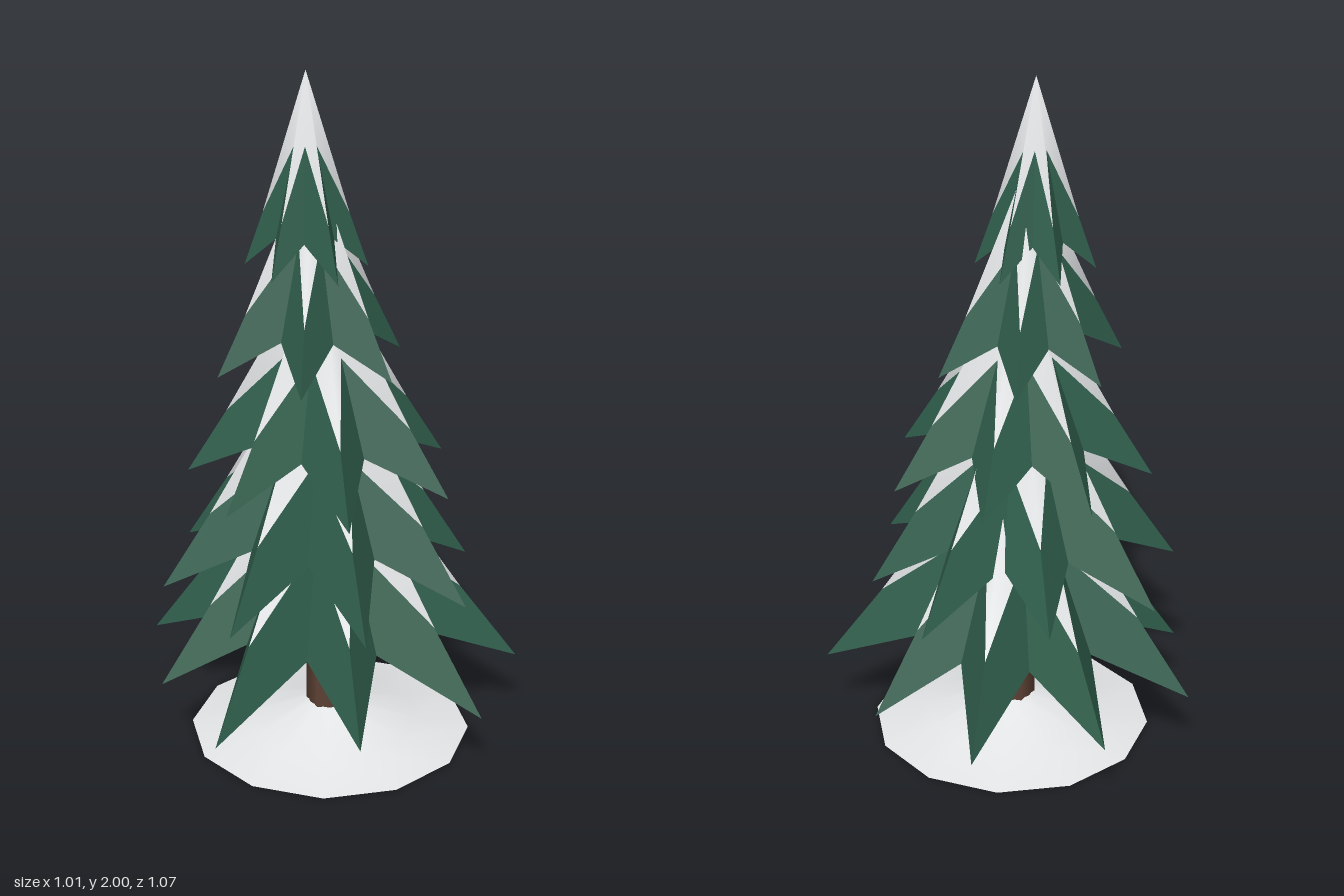
import * as THREE from 'three';

const green = new THREE.MeshStandardMaterial({ color: 0x2f5d4b });
green.name = 'needle green';
green.flatShading = true;
const white = new THREE.MeshStandardMaterial({ color: 0xe6e8ea, side: THREE.DoubleSide });
white.name = 'snow white';
const brown = new THREE.MeshStandardMaterial({ color: 0x5e4235 });
brown.name = 'bark brown';

// Tiers of branches from the bottom up: centre, apex height, tip height,
// angle of the first branch (degrees) and the reach of every branch.
const tiers = [
  { x: 0, z: 0, apex: 0.98, tip: 0.215, start: -93, snow: 0.53,
    reach: [0.54, 0.565, 0.506, 0.564, 0.574, 0.55, 0.605, 0.5, 0.54] },
  { x: -0.02, z: 0.02, apex: 1.23, tip: 0.515, start: -122, snow: 0.55,
    reach: [0.46, 0.42, 0.49, 0.435, 0.47, 0.49, 0.49, 0.465] },
  { x: -0.03, z: 0.03, apex: 1.45, tip: 0.83, start: 209, snow: 0.48,
    reach: [0.375, 0.35, 0.36, 0.385, 0.4, 0.41, 0.395] },
  { x: -0.05, z: 0.02, apex: 1.73, tip: 1.165, start: 243, snow: 0.42,
    reach: [0.252, 0.257, 0.272, 0.27, 0.28, 0.283] },
  { x: -0.07, z: 0.025, apex: 1.95, tip: 1.455, start: 90, snow: 0.37,
    reach: [0.19, 0.17, 0.168, 0.16, 0.17, 0.17] },
];

const SNOW_LIFT = 0.05;   // snow apex above the branch apex
const SNOW_END = 0.85;    // share of the branch length the snow reaches
const RIDGE_MELT = 0.7;   // where the snow sinks into a branch ridge

// Rim of a star cone: ridge tips alternating with valleys.
function starRim(tier) {
  const n = tier.reach.length;
  const mean = tier.reach.reduce((a, b) => a + b) / n;
  const drop = tier.apex - tier.tip;
  const rim = [];
  for (let i = 0; i < n * 2; i++) {
    const ridge = i % 2 === 0;
    const a = THREE.MathUtils.degToRad(tier.start + (i * 180) / n);
    const r = ridge ? tier.reach[i / 2] : mean * 0.53;
    const y = tier.apex - drop * (ridge ? 1 : 0.82);
    rim.push(new THREE.Vector3(r * Math.cos(a), y, r * Math.sin(a)));
  }
  return rim;
}

// Fan from an apex over a rim, with an optional underside rising to its centre.
function starCone(apexY, rim, underY) {
  const points = [new THREE.Vector3(0, apexY, 0), ...rim];
  const index = [];
  const n = rim.length;
  if (underY !== undefined) points.push(new THREE.Vector3(0, underY, 0));
  for (let i = 0; i < n; i++) {
    const a = i + 1;
    const b = ((i + 1) % n) + 1;
    index.push(0, b, a);
    if (underY !== undefined) index.push(n + 1, a, b);
  }
  const geometry = new THREE.BufferGeometry().setFromPoints(points);
  geometry.setIndex(index);
  geometry.computeVertexNormals();
  return geometry;
}

function addMesh(parent, name, geometry, material, x, y, z) {
  const mesh = new THREE.Mesh(geometry, material);
  mesh.name = name;
  mesh.position.set(x, y, z);
  parent.add(mesh);
  return mesh;
}

export function createModel() {
  const tree = new THREE.Group();
  tree.name = 'snowyPine';

  // Snow mound, open below
  const mound = [[0.41, 0], [0.25, 0.03], [0.065, 0.092]].map((p) => new THREE.Vector2(...p));
  addMesh(tree, 'snowMound', new THREE.LatheGeometry(mound, 12), white, 0, 0, 0.035);

  // Six-sided trunk
  addMesh(tree, 'trunk', new THREE.CylinderGeometry(0.07, 0.07, 0.6, 6), brown, 0, 0.3, 0.035);

  // Branch tiers, each with snow lying along its ridges
  tiers.forEach((tier, i) => {
    const group = new THREE.Group();
    group.name = `tier${i + 1}`;
    const rim = starRim(tier);
    addMesh(group, 'branches', starCone(tier.apex, rim, rim[1].y + 0.06), green, 0, 0, 0);

    const snowRim = rim.map((p, k) => {
      const melt = k % 2 === 0 ? RIDGE_MELT : tier.snow;
      const lift = SNOW_LIFT * (1 - SNOW_END / melt);
      const y = THREE.MathUtils.lerp(tier.apex, p.y, SNOW_END) + lift;
      return new THREE.Vector3(p.x * SNOW_END, y, p.z * SNOW_END);
    });
    addMesh(group, 'snowCover', starCone(tier.apex + SNOW_LIFT, snowRim), white, 0, 0, 0);

    group.position.set(tier.x, 0, tier.z);
    tree.add(group);
  });

  return tree;
}
